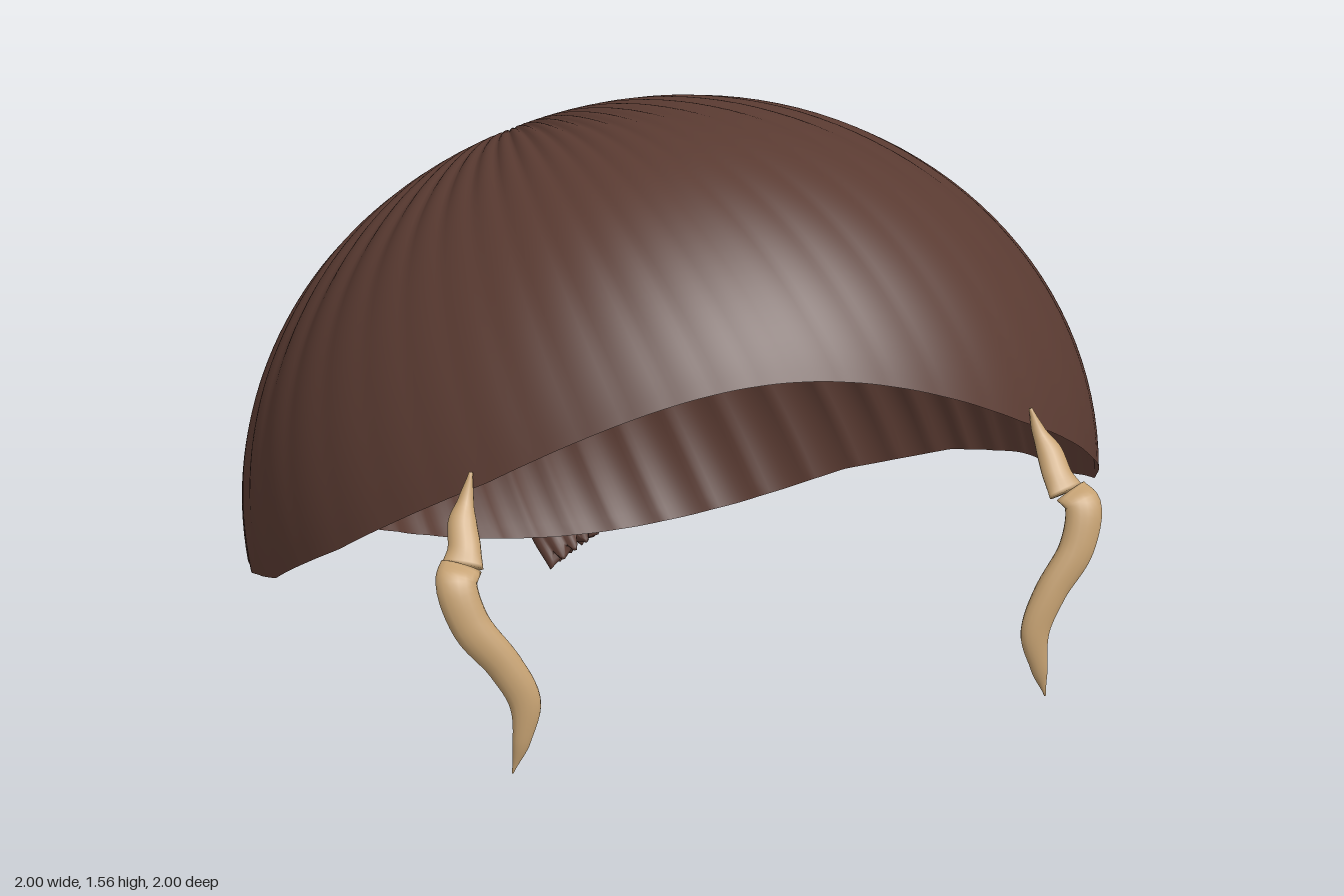
import * as THREE from 'three';

const brown = new THREE.MeshStandardMaterial({ color: 0x593a31, side: THREE.DoubleSide });
brown.name = 'dark brown hair';
const tan = new THREE.MeshStandardMaterial({ color: 0xc4a071 });
tan.name = 'tan strand';

function makeGeometry(positions, index) {
  const g = new THREE.BufferGeometry();
  g.setAttribute('position', new THREE.Float32BufferAttribute(positions, 3));
  g.setIndex(index);
  g.computeVertexNormals();
  return g;
}

function makeMesh(name, geometry, material) {
  const m = new THREE.Mesh(geometry, material);
  m.name = name;
  return m;
}

// Rim height as a function of cos(angle around the dome): back = -1, front = 1
const RIM = [[-1, 0.235], [-0.9, 0.295], [-0.734, 0.4], [-0.475, 0.51], [-0.23, 0.57],
  [0, 0.59], [0.244, 0.66], [0.49, 0.8], [0.78, 1.0], [1, 1.18]];
function rimHeight(c) {
  let i = 0;
  while (i < RIM.length - 2 && c > RIM[i + 1][0]) i++;
  const [c0, y0] = RIM[i], [c1, y1] = RIM[i + 1];
  return y0 + (y1 - y0) * (c - c0) / (c1 - c0);
}

// Open ellipsoidal dome: strands run from an off-centre crown to a slanted rim
function domeGeometry() {
  const around = 384, down = 40, cy = 0.68, ry = 0.9, cz = 0.2;
  const crown = new THREE.Vector3(-0.28, 0.846, -0.453).normalize();
  const positions = [], index = [];
  for (let i = 0; i <= down; i++) {
    const s = 0.02 + 0.98 * i / down;
    for (let j = 0; j < around; j++) {
      const a = j / around * Math.PI * 2;
      const h = (rimHeight(Math.cos(a)) - cy) / ry;
      const k = Math.sqrt(1 - h * h);
      const rim = new THREE.Vector3(k * Math.sin(a), h, k * Math.cos(a));
      // spherical interpolation from crown to rim
      const w = crown.angleTo(rim);
      const p = crown.clone().multiplyScalar(Math.sin((1 - s) * w) / Math.sin(w))
        .addScaledVector(rim, Math.sin(s * w) / Math.sin(w));
      // rounded locks with sharp grooves, deepest at the back
      const back = THREE.MathUtils.smoothstep(-p.z, -0.4, 0.5);
      const amp = (0.003 + 0.017 * back) * Math.min(1, s * 2.5) * (1 - 0.6 * s * s);
      const lock = Math.abs(Math.sin(26 * a + 1.6 * Math.sin(3 * a + 1)));
      p.multiplyScalar(1 + amp * (lock - 0.6));
      positions.push(p.x, cy + ry * p.y, cz + p.z * (p.z < 0 ? 0.86 : 0.82));
    }
  }
  for (let i = 0; i < down; i++) {
    for (let j = 0; j < around; j++) {
      const n = (j + 1) % around;
      const A = i * around + j, B = i * around + n, C = A + around, D = B + around;
      index.push(A, C, B, B, C, D);
    }
  }
  return makeGeometry(positions, index);
}

// Sweep an oval along rows of [x, y, z, halfWidth, halfDepth], closed at both ends.
// shape(angle, t) may return { scale, shift } to groove the section or slide it along the path.
function sweepGeometry(rows, steps, sides, shape = () => ({ scale: 1, shift: 0 })) {
  const path = new THREE.CatmullRomCurve3(rows.map(r => new THREE.Vector3(r[0], r[1], r[2])));
  const size = new THREE.CatmullRomCurve3(rows.map(r => new THREE.Vector3(r[3], r[4], 0)),
    false, 'catmullrom', 0.3);
  const positions = [], index = [];
  for (let i = 0; i <= steps; i++) {
    const t = i / steps, c = path.getPoint(t), T = path.getTangent(t), r = size.getPoint(t);
    const S = new THREE.Vector3(1, 0, 0).addScaledVector(T, -T.x).normalize();
    const N = new THREE.Vector3().crossVectors(T, S);
    for (let j = 0; j < sides; j++) {
      const a = j / sides * Math.PI * 2;
      const { scale, shift } = shape(a, t);
      const p = c.clone().addScaledVector(S, Math.cos(a) * r.x)
        .addScaledVector(N, Math.sin(a) * r.y * scale).addScaledVector(T, shift);
      positions.push(p.x, p.y, p.z);
    }
  }
  for (let i = 0; i < steps; i++) {
    for (let j = 0; j < sides; j++) {
      const n = (j + 1) % sides;
      const A = i * sides + j, B = i * sides + n, C = A + sides, D = B + sides;
      index.push(A, B, C, B, D, C);
    }
  }
  // end caps
  const first = path.getPoint(0), last = path.getPoint(1);
  const f = positions.length / 3, l = f + 1, base = steps * sides;
  positions.push(first.x, first.y, first.z, last.x, last.y, last.z);
  for (let j = 0; j < sides; j++) {
    const n = (j + 1) % sides;
    index.push(f, n, j, l, base + j, base + n);
  }
  return makeGeometry(positions, index);
}

// Flat arched ponytail with grooves and a ragged, slanted tip
function ponytailGeometry() {
  const rows = [
    [0, 0.83, -0.61, 0.08, 0.035], [0, 0.845, -0.7, 0.1, 0.03], [0, 0.835, -0.79, 0.125, 0.036],
    [0.015, 0.74, -0.885, 0.14, 0.042], [0, 0.58, -0.945, 0.145, 0.043],
    [-0.01, 0.4, -0.957, 0.145, 0.043], [0, 0.25, -0.927, 0.135, 0.043],
    [0.02, 0.13, -0.87, 0.115, 0.038], [0.035, 0.08, -0.84, 0.1, 0.03],
  ];
  return sweepGeometry(rows, 60, 72, (a, t) => {
    const u = Math.cos(a);
    const end = THREE.MathUtils.smoothstep(t, 0.86, 1);
    const groove = Math.abs(Math.sin(u * 8));
    return { scale: 0.84 + 0.22 * groove, shift: end * (-0.025 * u + 0.04 * (groove - 0.5)) };
  });
}

export function createModel() {
  const model = new THREE.Group();
  model.name = 'hairpiece';
  model.add(makeMesh('hairDome', domeGeometry(), brown));

  // Ponytail and the ring at its root
  const ponytail = new THREE.Group();
  ponytail.name = 'ponytail';
  ponytail.add(makeMesh('ponytailStrand', ponytailGeometry(), brown));
  const ring = makeMesh('ponytailRing', new THREE.TorusGeometry(0.07, 0.016, 10, 32), brown);
  ring.position.set(0, 0.82, -0.637);
  ring.rotation.x = 0.2;
  ring.scale.x = 1.25;
  ponytail.add(ring);
  model.add(ponytail);

  // Pair of curled side strands hanging from the front rim
  const upper = [[0.615, 1.02, 0.78, 0.004, 0.004], [0.63, 0.97, 0.797, 0.016, 0.012],
    [0.645, 0.93, 0.825, 0.03, 0.018], [0.65, 0.89, 0.86, 0.034, 0.018], [0.66, 0.862, 0.885, 0.042, 0.014]];
  const lower = [[0.665, 0.868, 0.895, 0.042, 0.012], [0.682, 0.845, 0.922, 0.042, 0.022],
    [0.66, 0.76, 0.95, 0.04, 0.024], [0.597, 0.67, 0.965, 0.036, 0.024],
    [0.56, 0.59, 0.98, 0.033, 0.018], [0.57, 0.51, 0.988, 0.02, 0.012], [0.59, 0.435, 0.985, 0.002, 0.002]];
  for (const side of [1, -1]) {
    const strand = new THREE.Group();
    strand.name = side > 0 ? 'leftStrand' : 'rightStrand';
    const mirror = rows => rows.map(([x, ...rest]) => [x * side, ...rest]);
    strand.add(makeMesh('strandRoot', sweepGeometry(mirror(upper), 20, 16), tan));
    strand.add(makeMesh('strandCurl', sweepGeometry(mirror(lower), 36, 16), tan));
    model.add(strand);
  }
  return model;
}
